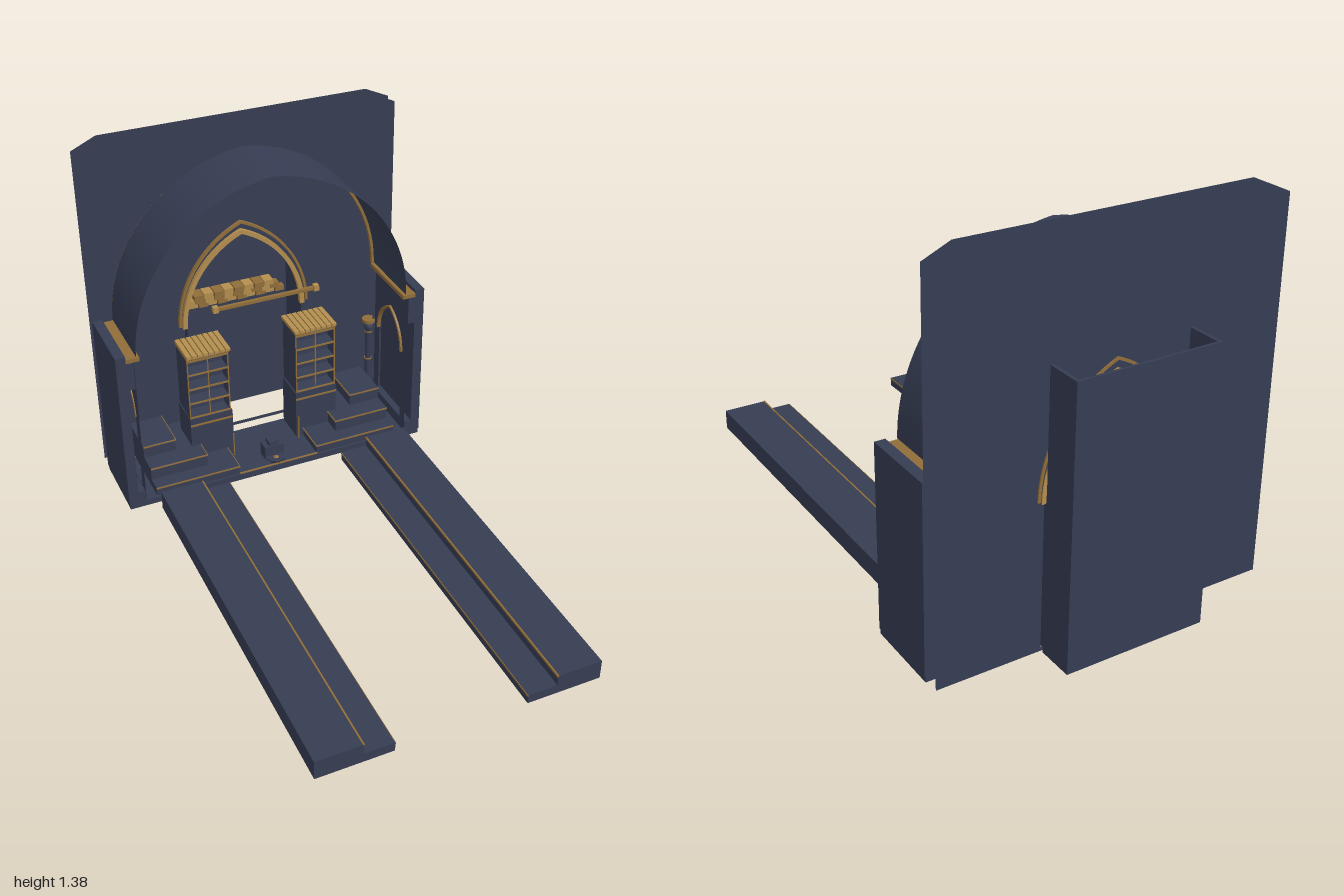
import * as THREE from 'three';

export function createModel() {
  const root = new THREE.Group();
  const mat = (name, color) => {
    const m = new THREE.MeshStandardMaterial({ color, side: THREE.DoubleSide });
    m.name = name;
    return m;
  };
  const stone = mat('navy stone', 0x363d53);
  const gold = mat('old gold', 0x906d3a);
  const bright = mat('bright gold', 0xb48e4e);

  const add = (name, geo, m, x = 0, y = 0, z = 0) => {
    const mesh = new THREE.Mesh(geo, m);
    mesh.name = name;
    mesh.position.set(x, y, z);
    root.add(mesh);
    return mesh;
  };
  // Box given by its limits on each axis
  const box = (name, m, x0, x1, y0, y1, z0, z1) =>
    add(name, new THREE.BoxGeometry(Math.abs(x1 - x0), y1 - y0, z1 - z0), m, (x0 + x1) / 2, (y0 + y1) / 2, (z0 + z1) / 2);

  // Two-centred pointed arch, from right springing to left springing
  const arch = (w, spring, apex, n = 20) => {
    const h = apex - spring, c = (h * h - w * w) / (2 * w), R = w + c;
    const end = Math.atan2(h, c), right = [];
    for (let i = 0; i <= n; i++) {
      const a = (end * i) / n;
      right.push(new THREE.Vector2(R * Math.cos(a) - c, spring + R * Math.sin(a)));
    }
    const left = right.slice(0, -1).reverse().map(p => new THREE.Vector2(-p.x, p.y));
    return [...right, ...left];
  };
  // Arched opening with straight jambs down to y = bottom
  const opening = (w, spring, apex, bottom) =>
    [new THREE.Vector2(w, bottom), ...arch(w, spring, apex), new THREE.Vector2(-w, bottom)];
  // Flat moulding between two arches
  const archTrim = (w, spring, apex, t, depth) => new THREE.ExtrudeGeometry(
    new THREE.Shape([...arch(w, spring, apex), ...arch(w - t, spring, apex - t).reverse()]),
    { depth, bevelEnabled: false });
  // Open surface swept along z from an outline
  const sweep = (pts, z0, z1) => {
    const pos = [], idx = [];
    pts.forEach((p, i) => {
      pos.push(p.x, p.y, z0, p.x, p.y, z1);
      const a = 2 * i;
      if (i < pts.length - 1) idx.push(a, a + 1, a + 2, a + 1, a + 3, a + 2);
    });
    const g = new THREE.BufferGeometry();
    g.setAttribute('position', new THREE.Float32BufferAttribute(pos, 3));
    g.setIndex(idx);
    g.computeVertexNormals();
    return g;
  };
  // Wall sheet with chamfered top corners and an arched hole
  const wall = hole => {
    const s = new THREE.Shape([[-0.615, 0.01], [0.615, 0.01], [0.615, 1.337], [0.52, 1.38], [-0.52, 1.38], [-0.615, 1.337]]
      .map(p => new THREE.Vector2(...p)));
    s.holes.push(new THREE.Path(hole));
    return new THREE.ShapeGeometry(s);
  };

  // Walls, vault and floor
  add('frontWall', wall(opening(0.54, 0.67, 1.268, 0.02)), stone, 0, 0, -0.787);
  add('rearWall', wall(opening(0.245, 0.53, 0.895, 0.025)), stone, 0, 0, -0.845);
  add('vault', sweep(arch(0.54, 0.67, 1.27, 32), -0.5, -0.785), stone);
  add('vaultTrim', archTrim(0.54, 0.67, 1.267, 0.01, 0.015), gold, 0, 0, -0.8);
  box('floor', stone, -0.615, 0.615, 0, 0.025, -0.785, -0.5);
  box('floorEdge', gold, -0.165, 0.165, 0.025, 0.029, -0.51, -0.503);

  // Rear niche, open above and below
  add('nicheReveal', sweep(opening(0.24, 0.53, 0.893, 0.025), -0.83, -0.872), stone);
  box('nicheBack', stone, -0.255, 0.255, 0.025, 0.99, -1, -0.99);
  add('outerNicheTrim', archTrim(0.27, 0.54, 0.945, 0.01, 0.02), gold, 0, 0, -0.85);
  add('innerNicheTrim', archTrim(0.255, 0.53, 0.91, 0.018, 0.02), bright, 0, 0, -0.848);

  // Corbelled bricks in the niche, projecting further in each higher row
  [[0.225, 11, 0.526, -0.965], [0.2, 10, 0.551, -0.95], [0.17, 8, 0.577, -0.935]].forEach(([w, n, y, z], row) => {
    const step = (2 * w) / n;
    for (let i = 0; i < n; i++) {
      const x = -w + i * step;
      box('nicheBrick', (i + row) % 2 ? bright : gold, x + 0.002, x + step - 0.002, y, y + 0.022, -0.99, z - (i % 2) * 0.006);
    }
  });

  // Hanging tie beam
  box('tieBeam', gold, -0.21, 0.21, 0.729, 0.741, -0.6, -0.585);
  for (const s of [-1, 1]) box('beamEnd', bright, s * 0.192, s * 0.212, 0.724, 0.748, -0.603, -0.582);

  // Central fountain
  box('fountainBase', stone, -0.04, 0.04, 0.025, 0.082, -0.6, -0.55);
  box('fountainTop', stone, -0.02, 0.02, 0.082, 0.1, -0.595, -0.555);
  add('fountainBasin', new THREE.CylinderGeometry(0.04, 0.03, 0.015, 8), stone, 0, 0.032, -0.54);
  add('fountainSpout', new THREE.SphereGeometry(0.017, 12, 6, 0, Math.PI * 2, 0, Math.PI / 2), gold, 0, 0.027, -0.535);

  const columnProfile = [[0, 0.025], [0.022, 0.025], [0.022, 0.045], [0.013, 0.055], [0.013, 0.345], [0.016, 0.355], [0.027, 0.39], [0, 0.39]]
    .map(p => new THREE.Vector2(...p));

  for (const s of [-1, 1]) {
    const sb = (name, m, x0, x1, ...r) => box(name, m, s * x0, s * x1, ...r);

    sb('nicheSide', stone, 0.243, 0.255, 0.025, 0.99, -0.99, -0.872);

    // Side wall: outer slab, arched inner sheet, recess between them
    sb('outerSideWall', stone, 0.58, 0.618, 0.02, 0.68, -0.785, -0.5);
    sb('recessHead', stone, 0.552, 0.58, 0.537, 0.65, -0.785, -0.5);
    sb('recessSill', stone, 0.552, 0.58, 0.025, 0.07, -0.785, -0.5);
    const sheet = new THREE.Shape([[-0.142, 0.025], [0.142, 0.025], [0.142, 0.65], [-0.142, 0.65]].map(p => new THREE.Vector2(...p)));
    sheet.holes.push(new THREE.Path(opening(0.1, 0.39, 0.535, 0.07)));
    add('innerSideWall', new THREE.ShapeGeometry(sheet), stone, s * 0.55, 0, -0.643).rotation.y = Math.PI / 2;
    add('sideArchTrim', archTrim(0.108, 0.39, 0.545, 0.01, 0.013), gold, s * 0.5475 - 0.0065, 0, -0.643).rotation.y = Math.PI / 2;
    sb('springingLedge', gold, 0.528, 0.58, 0.651, 0.667, -0.79, -0.5);

    // Corner column
    add('column', new THREE.LatheGeometry(columnProfile, 16), stone, s * 0.528, 0, -0.8);
    for (const y of [0.055, 0.215, 0.345])
      add('columnRing', new THREE.CylinderGeometry(0.016, 0.016, 0.006, 16), gold, s * 0.528, y, -0.8);
    add('columnCap', new THREE.CylinderGeometry(0.027, 0.027, 0.014, 16), gold, s * 0.528, 0.398, -0.8);

    // Corner steps with gold nosing
    [[0.165, 0.025, 0.06, -0.51], [0.275, 0.06, 0.11, -0.57], [0.375, 0.11, 0.16, -0.65]].forEach(([x, y0, y1, z]) => {
      sb('step', stone, x, 0.505, y0, y1, -0.825, z);
      sb('stepNosing', gold, x, 0.505, y1 - 0.005, y1 + 0.001, z, z + 0.003);
      sb('stepSideNosing', gold, x - 0.003, x, y1 - 0.005, y1 + 0.001, -0.825, z + 0.003);
    });

    // Bookcase: plinth, open shelves, dentilled crown
    sb('bookcasePlinth', stone, 0.135, 0.31, 0.025, 0.235, -0.78, -0.645);
    sb('plinthBand', gold, 0.135, 0.31, 0.202, 0.209, -0.645, -0.641);
    sb('bookcaseBack', stone, 0.14, 0.306, 0.235, 0.505, -0.78, -0.71);
    for (const x of [0.14, 0.303]) sb('bookcaseSide', stone, x, x + 0.005, 0.235, 0.505, -0.71, -0.655);
    for (const y of [0.235, 0.3, 0.365, 0.43, 0.492]) {
      sb('shelf', stone, 0.143, 0.305, y, y + 0.006, -0.71, -0.654);
      sb('shelfEdge', gold, 0.14, 0.308, y, y + 0.006, -0.654, -0.649);
    }
    for (const x of [0.14, 0.222, 0.304]) sb('shelfUpright', gold, x, x + 0.004, 0.235, 0.5, -0.655, -0.65);
    sb('bookcaseCrown', gold, 0.137, 0.31, 0.505, 0.515, -0.78, -0.645);
    for (let i = 0; i < 8; i++) {
      const x = 0.134 + i * 0.0225;
      sb('crownDentil', bright, x, x + 0.018, 0.514, 0.525, -0.78, -0.638);
    }
    sb('doorPost', gold, 0.138, 0.142, 0.025, 0.13, -0.635, -0.63);

    // Long two-tier bench running forward
    sb('benchUpper', stone, 0.345, 0.51, 0.025, 0.1, -0.43, 1);
    sb('benchLower', stone, 0.237, 0.345, 0.025, 0.06, -0.43, 1);
    sb('benchUpperEdge', gold, 0.342, 0.348, 0.094, 0.102, -0.43, 1);
    sb('benchLowerEdge', gold, 0.235, 0.237, 0.053, 0.06, -0.43, 1);
  }
  return root;
}
